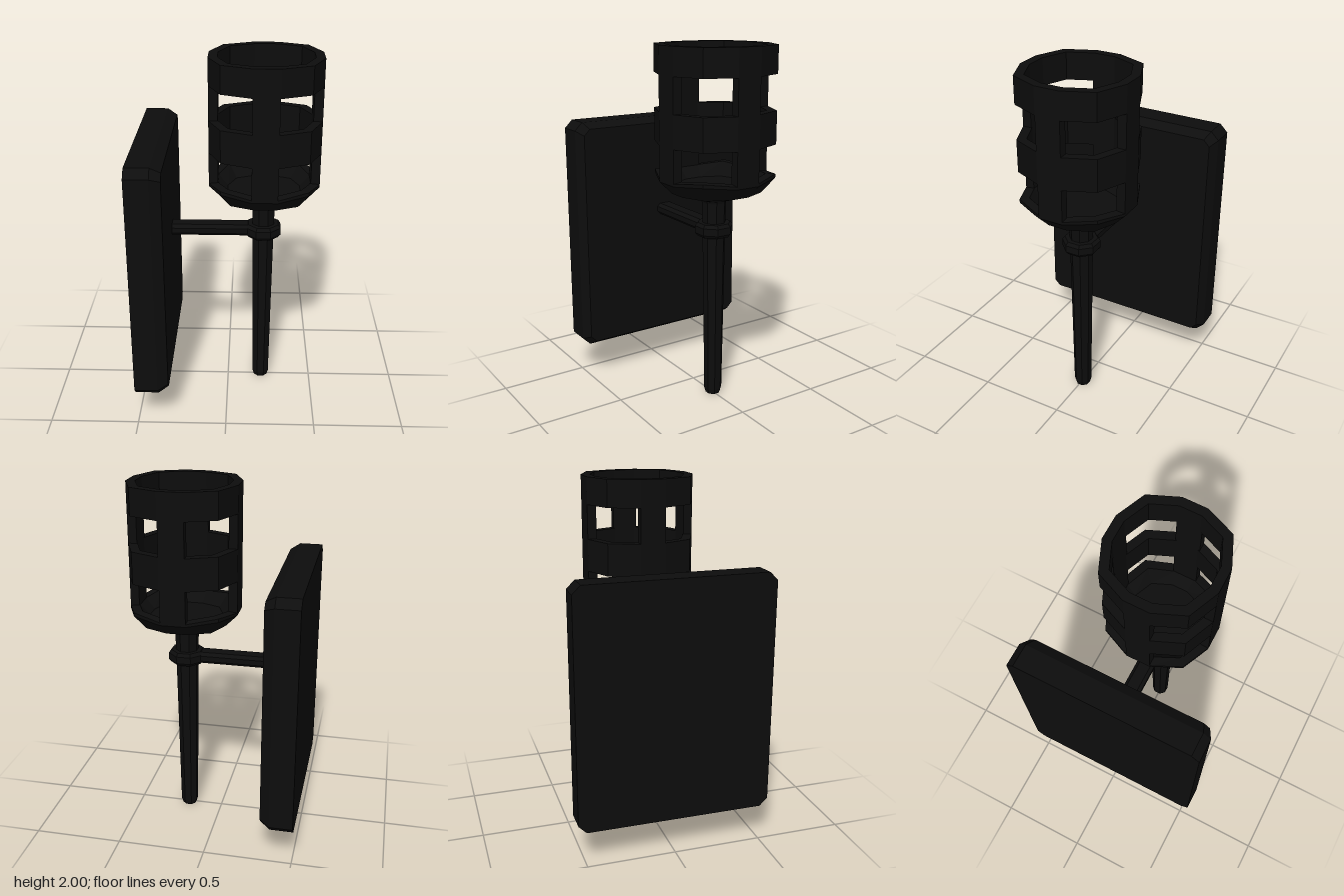
import * as THREE from 'three';

const AXIS_X = 0.2, AXIS_Z = -0.005;

// Joins same-length outlines of [x, z] points, counter-clockwise seen from above, into a skin
function loft(sections) {
  const pos = [], n = sections[0].length;
  for (let s = 0; s < sections.length - 1; s++) {
    for (let i = 0; i < n; i++) {
      const j = (i + 1) % n, a = sections[s], b = sections[s + 1];
      pos.push(...a[i], ...a[j], ...b[j], ...a[i], ...b[j], ...b[i]);
    }
  }
  const g = new THREE.BufferGeometry();
  g.setAttribute('position', new THREE.Float32BufferAttribute(pos, 3));
  g.computeVertexNormals();
  return g;
}

// Twelve-sided basket outline: four narrow axis faces and eight diagonal ones
function basketOutline(narrow, reach, diagonal) {
  const pts = [];
  for (let k = 0; k < 4; k++) {
    const c = Math.round(Math.cos(k * Math.PI / 2)), s = Math.round(Math.sin(k * Math.PI / 2));
    for (const [x, y] of [[reach, -narrow], [reach, narrow], [diagonal, diagonal]]) {
      pts.push(new THREE.Vector2(x * c - y * s, x * s + y * c));
    }
  }
  return pts;
}

// Octagonal outline of a rectangle with cut corners, at height y
function cutRect(hx, hz, cut, y) {
  return [[hx, hz - cut], [hx - cut, hz], [cut - hx, hz], [-hx, hz - cut],
    [-hx, cut - hz], [cut - hx, -hz], [hx - cut, -hz], [hx, cut - hz]]
    .map(([x, z]) => [x, y, -z]);
}

export function createModel() {
  const model = new THREE.Group();
  model.name = 'wallTorch';
  const iron = new THREE.MeshStandardMaterial({ color: 0x0d0d0d, flatShading: true });
  iron.name = 'blackIron';

  const add = (name, geometry, parent = model) => {
    const mesh = new THREE.Mesh(geometry, iron);
    mesh.name = name;
    parent.add(mesh);
    return mesh;
  };

  // Wall plate, bevelled towards the torch
  const plate = add('wallPlate', loft([
    cutRect(0, 0, 0, -0.505),
    cutRect(0.673, 0.545, 0.045, -0.505),
    cutRect(0.673, 0.545, 0.045, -0.375),
    cutRect(0.64, 0.515, 0.035, -0.32),
    cutRect(0, 0, 0, -0.32),
  ]));
  plate.rotation.z = -Math.PI / 2;
  plate.position.y = 0.882;

  // Flattened arm between plate and collar
  const arm = add('arm', loft([
    cutRect(0, 0, 0, -0.33),
    cutRect(0.033, 0.051, 0.018, -0.33),
    cutRect(0.033, 0.051, 0.018, 0.17),
    cutRect(0, 0, 0, 0.17),
  ]));
  arm.rotation.z = -Math.PI / 2;
  arm.position.set(0, 1, AXIS_Z);

  const torch = new THREE.Group();
  torch.name = 'torch';
  torch.position.set(AXIS_X, 0, AXIS_Z);
  model.add(torch);

  // Tapered handle and its collar
  const lathe = (pts) => new THREE.LatheGeometry(
    pts.map(([r, y]) => new THREE.Vector2(r, y)), 8, Math.PI / 8);
  add('handle', lathe([[0, 0], [0.042, 0], [0.051, 0.03], [0.064, 0.96],
    [0.068, 1.15], [0.078, 1.18], [0, 1.18]]), torch);
  add('collar', lathe([[0, 0.96], [0.092, 0.96], [0.107, 0.978],
    [0.107, 1.018], [0.092, 1.036], [0, 1.036]]), torch);

  // Bowl under the basket: [scale, y, lift of the diagonal corners]
  const outer = basketOutline(0.07, 0.305, 0.235);
  const bowl = [[0, 1.165, 0], [0.25, 1.165, 0], [0.78, 1.215, 0], [1, 1.285, 0.015],
    [1, 1.3, 0.02], [0.84, 1.305, 0.015], [0.66, 1.245, 0], [0, 1.245, 0]];
  add('bowl', loft(bowl.map(([s, y, lift]) =>
    outer.map((p, i) => [p.x * s, y + (i % 3 === 2 ? lift : 0), -p.y * s]))), torch);

  // Two hoops of the basket
  for (const [name, y0, y1] of [['lowerHoop', 1.48, 1.66], ['upperHoop', 1.85, 2]]) {
    const shape = new THREE.Shape(outer);
    shape.holes.push(new THREE.Path(basketOutline(0.06, 0.255, 0.197)));
    const g = new THREE.ExtrudeGeometry(shape, { depth: y1 - y0, bevelEnabled: false });
    add(name, g.rotateX(-Math.PI / 2).translate(0, y0, 0), torch);
  }

  // Four posts on the axis faces, in two tiers
  for (const [tier, y0, y1] of [['lowerPost', 1.29, 1.48], ['upperPost', 1.66, 1.85]]) {
    for (let k = 0; k < 4; k++) {
      const g = new THREE.BoxGeometry(0.05, y1 - y0, 0.14).translate(0.28, (y0 + y1) / 2, 0);
      add(tier, g.rotateY(k * Math.PI / 2), torch);
    }
  }
  return model;
}
